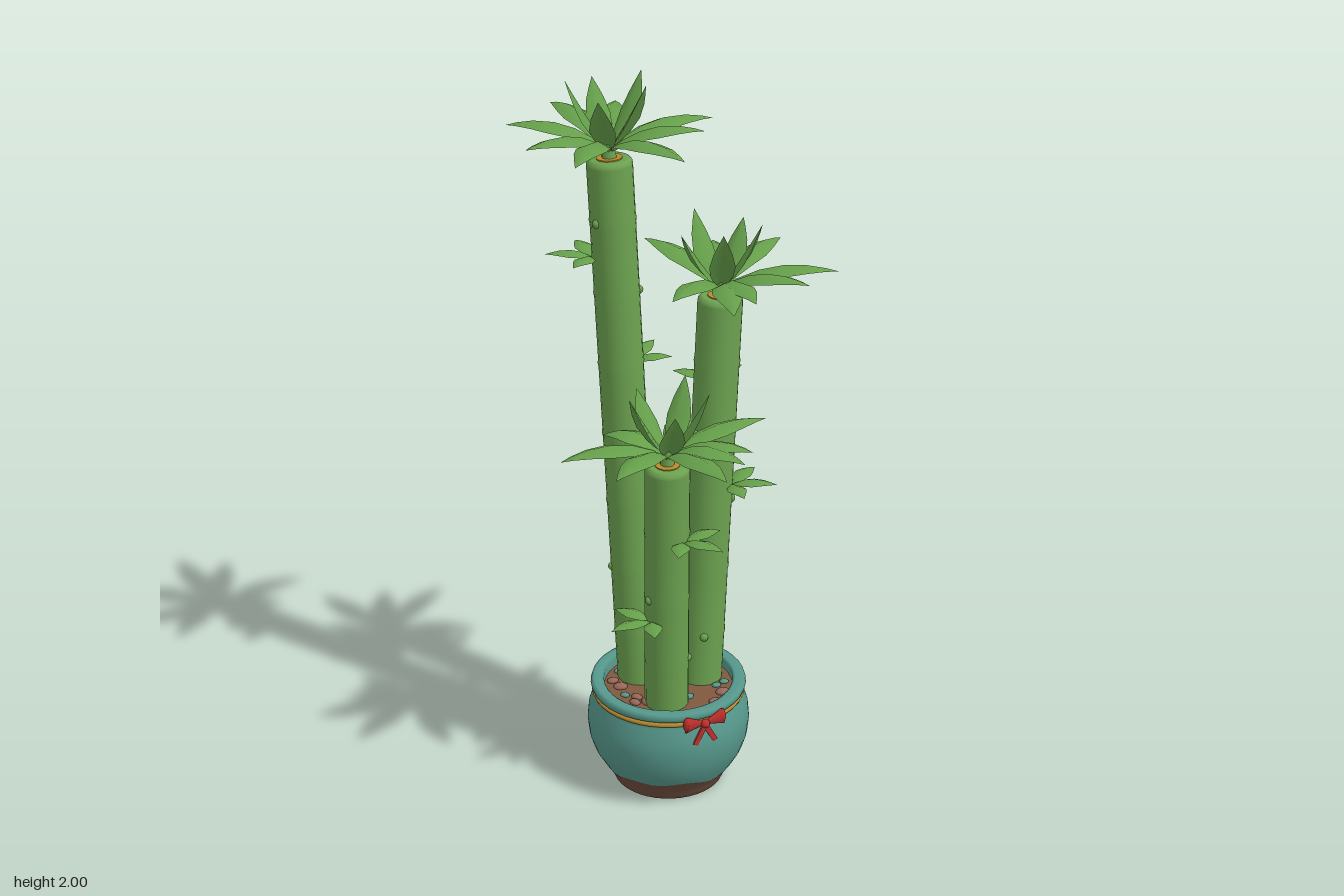
import * as THREE from 'three';

const mat = (name, color) => {
  const m = new THREE.MeshStandardMaterial({ color });
  m.name = name;
  return m;
};
const V2 = (x, y) => new THREE.Vector2(x, y);
const V3 = (x, y, z) => new THREE.Vector3(x, y, z);

export function createModel() {
  const root = new THREE.Group();
  const stalkGreen = mat('stalkGreen', 0x6ca250);
  const leafGreen = mat('leafGreen', 0x66a04b);
  leafGreen.side = THREE.DoubleSide;
  const teal = mat('tealGlaze', 0x56988c);
  const clay = mat('brownClay', 0x6e4d3c);
  const soilBrown = mat('soilBrown', 0x80593f);
  const gold = mat('gold', 0xb98a2e);
  const red = mat('ribbonRed', 0xbd2f2c);
  const stone = mat('pebbleBrown', 0x96685a);

  const add = (parent, name, geo, material, pos) => {
    const m = new THREE.Mesh(geo, material);
    m.name = name;
    if (pos) m.position.copy(pos);
    parent.add(m);
    return m;
  };

  // ---- Pot: glazed bowl over a bare clay foot, meeting in a wavy line
  const pot = new THREE.Group();
  pot.name = 'pot';
  pot.position.set(-0.024, 0, -0.015);
  root.add(pot);
  const wavyLathe = (pts, edge) => {
    const seg = 40, g = new THREE.LatheGeometry(pts, seg), p = g.attributes.position;
    for (let i = 0; i <= seg; i++) {
      const a = (i / seg) * Math.PI * 2;
      const dy = 0.01 * Math.sin(3 * a + 2) + 0.007 * Math.sin(7 * a);
      const k = i * pts.length + edge, r = pts[edge].x + dy * 0.65;
      p.setXYZ(k, r * Math.sin(a), pts[edge].y + dy, r * Math.cos(a));
    }
    return g;
  };
  const foot = [V2(0, 0), V2(0.145, 0), V2(0.153, 0.004), V2(0.16, 0.02), V2(0.168, 0.038), V2(0.188, 0.066)];
  add(pot, 'clayFoot', wavyLathe(foot, foot.length - 1), clay);
  const bowl = [V2(0.188, 0.066), V2(0.207, 0.1), V2(0.22, 0.14), V2(0.225, 0.185), V2(0.221, 0.225),
    V2(0.208, 0.262), V2(0.202, 0.282), V2(0.212, 0.288), V2(0.215, 0.298), V2(0.212, 0.308),
    V2(0.205, 0.31), V2(0.185, 0.31), V2(0.178, 0.305), V2(0.178, 0.26)];
  add(pot, 'glazedBowl', wavyLathe(bowl, 0), teal);
  const cord = add(pot, 'goldCord', new THREE.TorusGeometry(0.205, 0.007, 8, 40), gold, V3(0, 0.277, 0));
  cord.rotation.x = Math.PI / 2;
  const soil = add(pot, 'soil', new THREE.CircleGeometry(0.182, 32), soilBrown, V3(0, 0.28, 0));
  soil.rotation.x = -Math.PI / 2;

  // Pebbles scattered on the soil
  for (let i = 0; i < 24; i++) {
    const a = i * 2.4, r = 0.155 - (i % 4) * 0.022, s = 0.011 + (i % 3) * 0.003;
    const p = add(pot, 'pebble', new THREE.IcosahedronGeometry(s, 1), i % 3 ? stone : teal,
      V3(r * Math.cos(a), 0.283, r * Math.sin(a)));
    p.scale.set(1.2, 0.6, 0.9);
    p.rotation.y = a;
  }

  // Ribbon bow tied on the cord
  const bow = new THREE.Group();
  bow.name = 'bow';
  bow.position.set(0.084, 0.276, 0.198);
  bow.rotation.y = 0.4;
  pot.add(bow);
  add(bow, 'bowKnot', new THREE.SphereGeometry(0.013, 12, 8), red, V3(0, 0, 0.004));
  for (const s of [-1, 1]) {
    const loop = add(bow, 'bowLoop', new THREE.CylinderGeometry(0.006, 0.024, 0.05, 12), red, V3(s * 0.03, 0.004, 0));
    loop.rotation.z = s * (Math.PI / 2 + 0.12);
    loop.scale.z = 0.5;
    const end = add(bow, 'bowLoopEnd', new THREE.SphereGeometry(0.024, 12, 8), red, V3(s * 0.053, 0.007, 0));
    end.scale.set(0.45, 0.95, 0.5);
    const tail = add(bow, 'bowTail', new THREE.BoxGeometry(0.015, 0.06, 0.006), red, V3(s * 0.016, -0.033, 0.004));
    tail.rotation.z = s * 0.5;
  }

  // ---- Leaf: ridged blade swept along an arching curve, pointing along +x
  const leafGeometry = (length, endY, ctrlX, ctrlY, halfWidth) => {
    const curve = new THREE.QuadraticBezierCurve(V2(0, 0), V2(ctrlX, ctrlY), V2(length, endY));
    const stations = [[0, 0.3], [0.15, 0.5], [0.35, 0.86], [0.55, 1], [0.75, 0.72], [0.9, 0.32], [1, 0]];
    const pos = [], index = [];
    stations.forEach(([t, w], i) => {
      const c = curve.getPoint(t), d = curve.getTangent(t), h = w * halfWidth;
      for (const s of [-1, 0, 1]) {
        const drop = -0.45 * h * Math.abs(s);
        pos.push(c.x - d.y * drop, c.y + d.x * drop, s * h);
      }
      if (i) for (const k of [0, 1]) {
        const a = (i - 1) * 3 + k, b = i * 3 + k;
        index.push(a, a + 1, b);
        if (i < stations.length - 1) index.push(a + 1, b + 1, b);
      }
    });
    // Close the pointed tip on one shared vertex
    const last = (stations.length - 1) * 3;
    const merged = index.map(v => (v >= last ? last + 1 : v));
    const g = new THREE.BufferGeometry();
    g.setAttribute('position', new THREE.Float32BufferAttribute(pos, 3));
    g.setIndex(merged);
    g.computeVertexNormals();
    return g;
  };
  const addLeaf = (parent, name, angle, geo) => {
    add(parent, name, geo, leafGreen).rotation.y = -angle;
  };

  // ---- Stalk with faint nodes, a crown of leaves, and side shoots
  const R = 0.06;
  const makeStalk = ({ name, base, top, tips, crownHeight, spin, shoots }) => {
    const group = new THREE.Group();
    group.name = name;
    root.add(group);
    const dir = top.clone().sub(base), len = dir.length();
    const pts = [V2(R, 0)];
    for (let y = 0.17; y < len - 0.08; y += 0.2) pts.push(V2(R, y - 0.012), V2(R + 0.002, y), V2(R, y + 0.012));
    pts.push(V2(R, len - 0.016), V2(R - 0.001, len - 0.008), V2(R - 0.008, len), V2(R - 0.012, len), V2(0, len));
    const trunk = new THREE.Group();
    trunk.name = 'trunk';
    trunk.position.copy(base);
    trunk.quaternion.setFromUnitVectors(V3(0, 1, 0), dir.normalize());
    group.add(trunk);
    add(trunk, 'stalk', new THREE.LatheGeometry(pts, 20), stalkGreen);
    add(trunk, 'cutTop', new THREE.CylinderGeometry(0.034, 0.034, 0.004, 16), gold, V3(0, len + 0.001, 0));
    add(trunk, 'crownStem', new THREE.CylinderGeometry(0.016, 0.02, 0.05, 10), stalkGreen, V3(0, len + 0.022, 0));
    for (let y = 0.17, i = 0; y < len - 0.1; y += 0.2, i++) {
      const a = i * 2.4 + spin;
      add(trunk, 'leafScar', new THREE.SphereGeometry(0.013, 8, 6), stalkGreen,
        V3((R - 0.004) * Math.cos(a), y, (R - 0.004) * Math.sin(a)));
    }

    // Crown: wide arching outer leaves, then a steeper inner tuft
    const crown = new THREE.Group();
    crown.name = 'crown';
    crown.position.set(top.x, top.y + 0.022, top.z);
    group.add(crown);
    tips.forEach(([x, z], i) => {
      const dx = x - top.x, dz = z - top.z, l = Math.hypot(dx, dz);
      addLeaf(crown, 'outerLeaf', Math.atan2(dz, dx), leafGeometry(l, 0.035 + (i % 3) * 0.012, l * 0.45, 0.1, 0.04));
    });
    for (let i = 0; i < 5; i++) {
      const h = crownHeight * (i % 2 ? 0.86 : 1);
      addLeaf(crown, 'innerLeaf', spin + i * Math.PI * 0.4, leafGeometry(0.11, h, 0.05, h * 0.4, 0.034));
    }

    // Side shoots: a small fan of leaves at a height and heading
    for (const [y, heading] of shoots) {
      const p = base.clone().lerp(top, (y - base.y) / (top.y - base.y));
      const shoot = new THREE.Group();
      shoot.name = 'sideShoot';
      shoot.position.set(p.x + R * 0.85 * Math.cos(heading), y - 0.015, p.z + R * 0.85 * Math.sin(heading));
      group.add(shoot);
      [-1.05, 0, 1.05].forEach((a, i) =>
        addLeaf(shoot, 'shootLeaf', heading + a, leafGeometry(i === 1 ? 0.13 : 0.11, 0.015, 0.05, 0.045, 0.026)));
    }
  };

  makeStalk({
    name: 'tallStalk', base: V3(-0.1, 0.26, -0.075), top: V3(-0.165, 1.79, -0.115),
    tips: [[-0.305, -0.395], [-0.425, -0.19], [-0.38, 0.04], [-0.26, 0.11], [0.01, 0.12], [0.075, -0.07], [0.11, -0.24], [-0.135, -0.36]],
    crownHeight: 0.188, spin: 0.6, shoots: [[1.53, 3.2], [1.22, -1.0]],
  });
  makeStalk({
    name: 'middleStalk', base: V3(0.068, 0.26, -0.06), top: V3(0.12, 1.41, -0.095),
    tips: [[0.305, -0.345], [0.425, -0.07], [0.335, 0.05], [0.13, 0.175], [-0.02, 0.1], [-0.065, -0.31], [0.12, -0.34], [0.19, 0.13]],
    crownHeight: 0.188, spin: 1.6, shoots: [[1.16, -1.7], [0.88, 0.25]],
  });
  makeStalk({
    name: 'shortStalk', base: V3(-0.035, 0.26, 0.068), top: V3(-0.035, 1.03, 0.118),
    tips: [[-0.315, 0.2], [-0.18, 0.34], [0.095, 0.39], [0.155, 0.25], [0.18, 0.205], [0.23, 0.03], [-0.2, 0.05], [0.03, -0.02]],
    crownHeight: 0.188, spin: 0.2, shoots: [[0.82, 0.7], [0.57, 2.6]],
  });

  return root;
}
